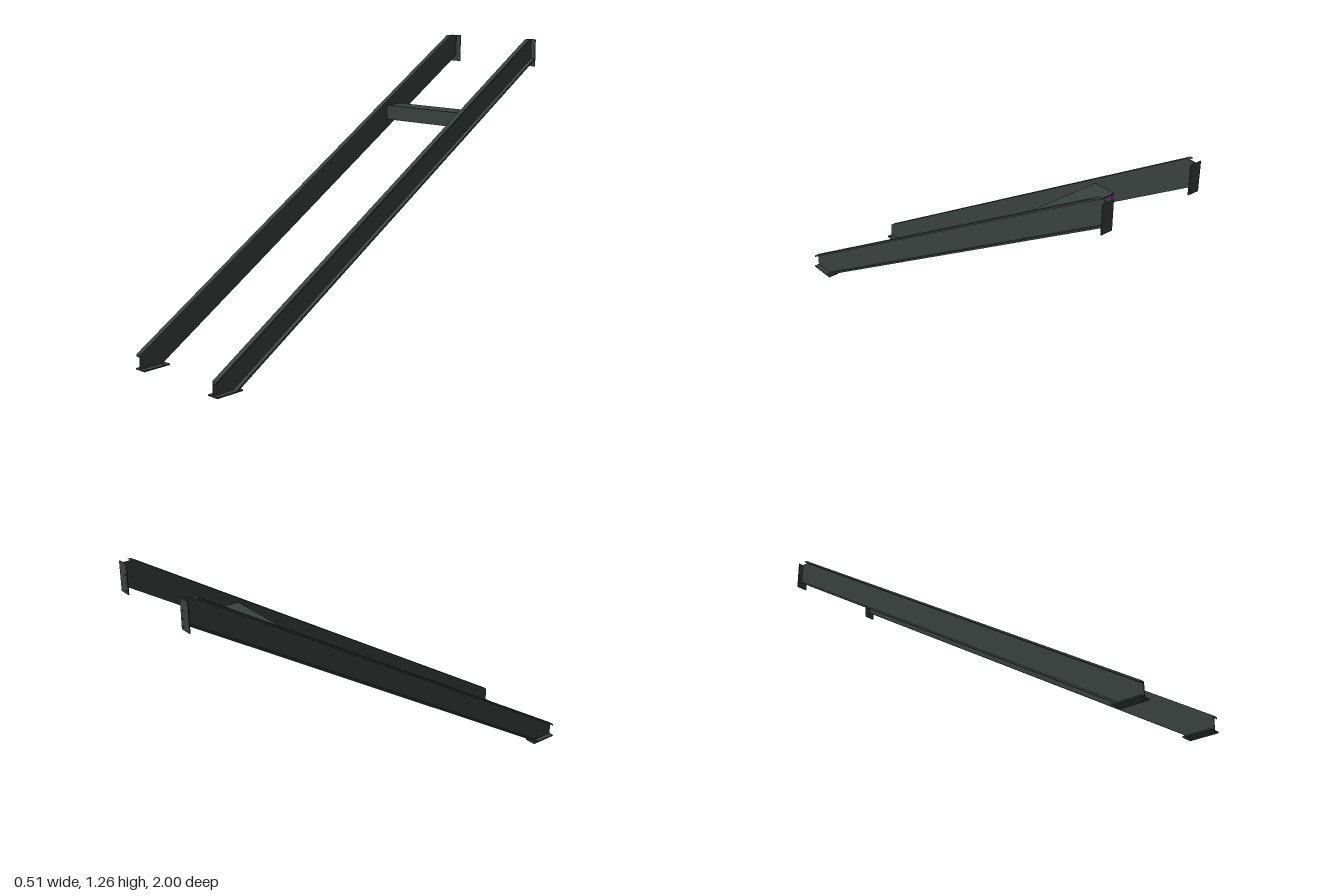
import * as THREE from 'three';

const steel = new THREE.MeshStandardMaterial({ color: 0x39423f });
steel.name = 'dark grey steel';
const magenta = new THREE.MeshStandardMaterial({ color: 0xe000a8 });
magenta.name = 'magenta';

function add(parent, name, geometry, material = steel) {
  const mesh = new THREE.Mesh(geometry, material);
  mesh.name = name;
  parent.add(mesh);
  return mesh;
}

// Slab with a side outline in (z, y), spanning x0..x1 on the given side (+1 left, -1 right)
function slab(points, x0, x1, side) {
  const shape = new THREE.Shape(points.map(([z, y]) => new THREE.Vector2(z, y)));
  const geo = new THREE.ExtrudeGeometry(shape, { depth: x1 - x0, bevelEnabled: false });
  geo.rotateY(-Math.PI / 2);
  return geo.translate(side > 0 ? x1 : -x0, 0, 0);
}

// Flat rectangular plate in x, y with round bolt holes, thickness along z
function boltPlate(x0, x1, y0, y1, thickness, holes) {
  const shape = new THREE.Shape();
  shape.moveTo(x0, y0).lineTo(x1, y0).lineTo(x1, y1).lineTo(x0, y1).closePath();
  for (const [x, y] of holes) {
    shape.holes.push(new THREE.Path().absarc(x, y, 0.0035, 0, Math.PI * 2, true));
  }
  return new THREE.ExtrudeGeometry(shape, { depth: thickness, bevelEnabled: false, curveSegments: 8 });
}

function box(x0, x1, y0, y1, z0, z1) {
  return new THREE.BoxGeometry(x1 - x0, y1 - y0, z1 - z0)
    .translate((x0 + x1) / 2, (y0 + y1) / 2, (z0 + z1) / 2);
}

export function createModel() {
  const model = new THREE.Group();
  model.name = 'stairStringerFrame';

  const base = 0.006;
  const webOutline = [[1, base], [1, 0.065], [-0.95, 1.265], [-0.997, 1.265], [-0.997, 1.165], [0.886, base]];
  const topFlange = [[1, 0.056], [1, 0.065], [-0.95, 1.265], [-0.965, 1.265]];
  const bottomFlange = [[0.886, base], [0.901, base], [-0.997, 1.174], [-0.997, 1.165]];

  for (const side of [1, -1]) {
    const label = side > 0 ? 'left' : 'right';
    // Sloping channel: web on the inside, flanges pointing outward
    const stringer = new THREE.Group();
    stringer.name = label + 'Stringer';
    add(stringer, 'web', slab(webOutline, 0.226, 0.231, side));
    add(stringer, 'topFlange', slab(topFlange, 0.231, 0.25, side));
    add(stringer, 'bottomFlange', slab(bottomFlange, 0.231, 0.25, side));

    // Upright plate at the top end
    const [x0, x1] = side > 0 ? [0.2, 0.254] : [-0.254, -0.2];
    const holes = [1.15, 1.183, 1.217].map((y) => [side * 0.213, y]);
    add(stringer, 'endPlate', boltPlate(x0, x1, 1.137, 1.265, 0.004, holes)).position.z = -1;

    // Flat foot plate
    const footHoles = [0.895, 0.982].map((z) => [side * 0.211, -z]);
    add(stringer, 'footPlate', boltPlate(x0, x1, -1, -0.87, base, footHoles).rotateX(-Math.PI / 2));
    model.add(stringer);

    // Angle bracket under the tread end
    const bracket = new THREE.Group();
    bracket.name = label + 'TreadBracket';
    const span = (a, b) => (side > 0 ? [a, b] : [-b, -a]);
    add(bracket, 'uprightLeg', box(...span(0.222, 0.226), 0.926, 0.951, -0.582, -0.49), magenta);
    add(bracket, 'flatLeg', box(...span(0.204, 0.222), 0.947, 0.951, -0.582, -0.49), magenta);
    model.add(bracket);
  }

  // Tread between the stringers: flat top with a deep front lip
  const tread = new THREE.Group();
  tread.name = 'tread';
  add(tread, 'treadTop', box(-0.226, 0.226, 0.951, 0.957, -0.592, -0.482));
  add(tread, 'treadFrontLip', box(-0.226, 0.226, 0.89, 0.951, -0.488, -0.482));
  model.add(tread);

  return model;
}
